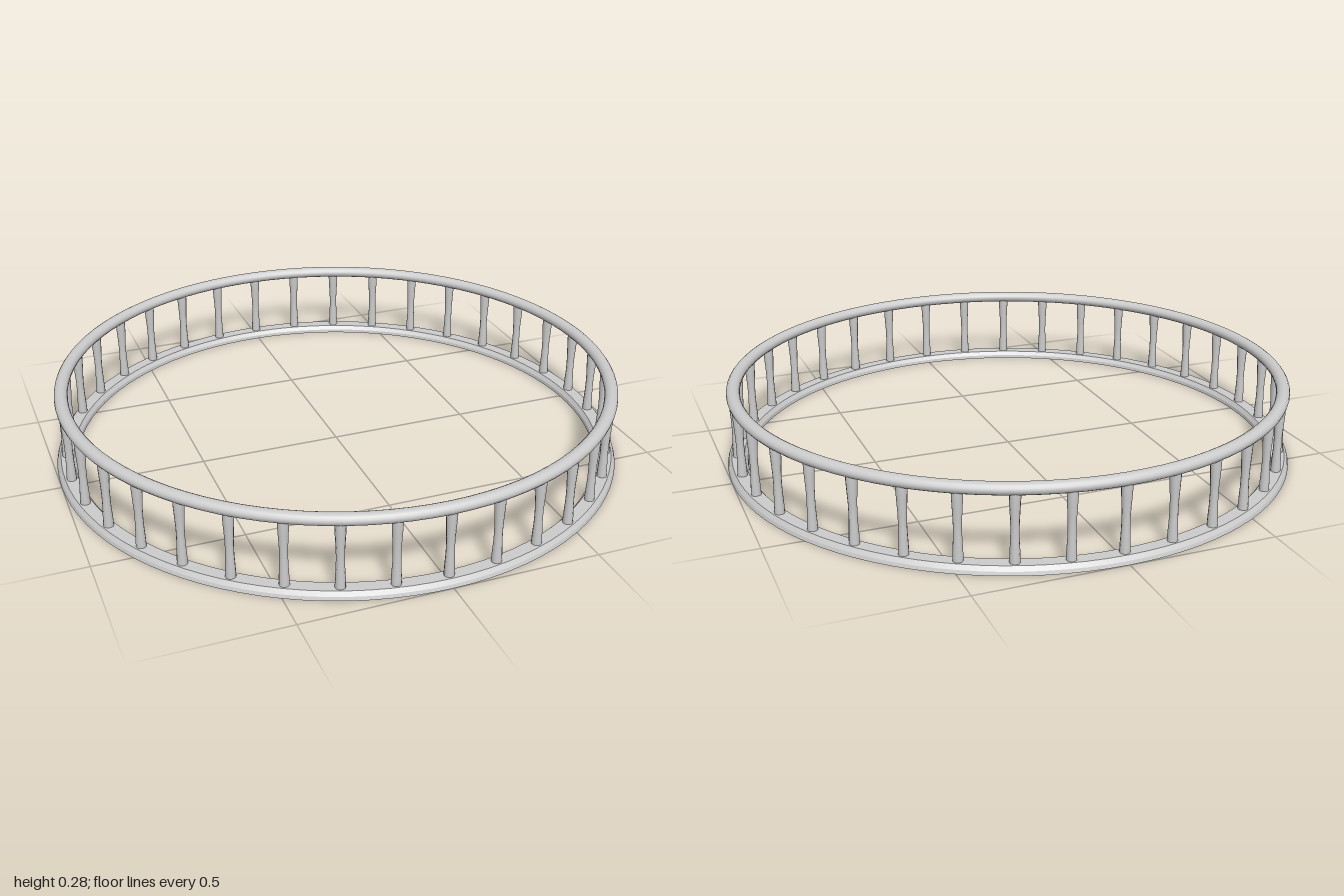
import * as THREE from 'three';

const RADIUS = 0.963; // centre line of the railing
const POSTS = 36;

export function createModel() {
  const group = new THREE.Group();
  const stone = new THREE.MeshStandardMaterial({ color: 0xcccccc });
  stone.name = 'paleGrey';

  const add = (name, geometry, parent = group) => {
    const mesh = new THREE.Mesh(geometry, stone);
    mesh.name = name;
    parent.add(mesh);
    return mesh;
  };

  // Base ring: one lathed strip per face so its edges stay sharp
  const base = new THREE.Group();
  base.name = 'baseRing';
  group.add(base);
  const section = [[0.928, 0], [1, 0], [0.996, 0.012], [0.985, 0.026], [0.941, 0.026], [0.93, 0.012]];
  section.forEach((p, i) => {
    const q = section[(i + 1) % section.length];
    const strip = [new THREE.Vector2(...p), new THREE.Vector2(...q)];
    add('baseFace', new THREE.LatheGeometry(strip, 96), base);
  });

  // Rounded handrail, a little wider than it is tall
  const rail = new THREE.TorusGeometry(RADIUS, 0.0235, 16, 96);
  rail.rotateX(Math.PI / 2);
  rail.scale(1, 0.85, 1);
  add('handrail', rail).position.y = 0.265;

  // Turned balusters, slimmer in the middle
  const profile = [
    [0.017, 0.02], [0.0165, 0.05], [0.014, 0.1], [0.0135, 0.13],
    [0.014, 0.16], [0.0165, 0.205], [0.018, 0.235], [0.018, 0.26],
  ].map(([r, y]) => new THREE.Vector2(r, y));
  const baluster = new THREE.LatheGeometry(profile, 12);
  const balusters = new THREE.Group();
  balusters.name = 'balusters';
  group.add(balusters);
  for (let i = 0; i < POSTS; i++) {
    const a = (i / POSTS) * Math.PI * 2;
    const post = add('baluster', baluster, balusters);
    post.position.set(Math.sin(a) * RADIUS, 0, Math.cos(a) * RADIUS);
    post.rotation.y = a;
  }
  return group;
}
